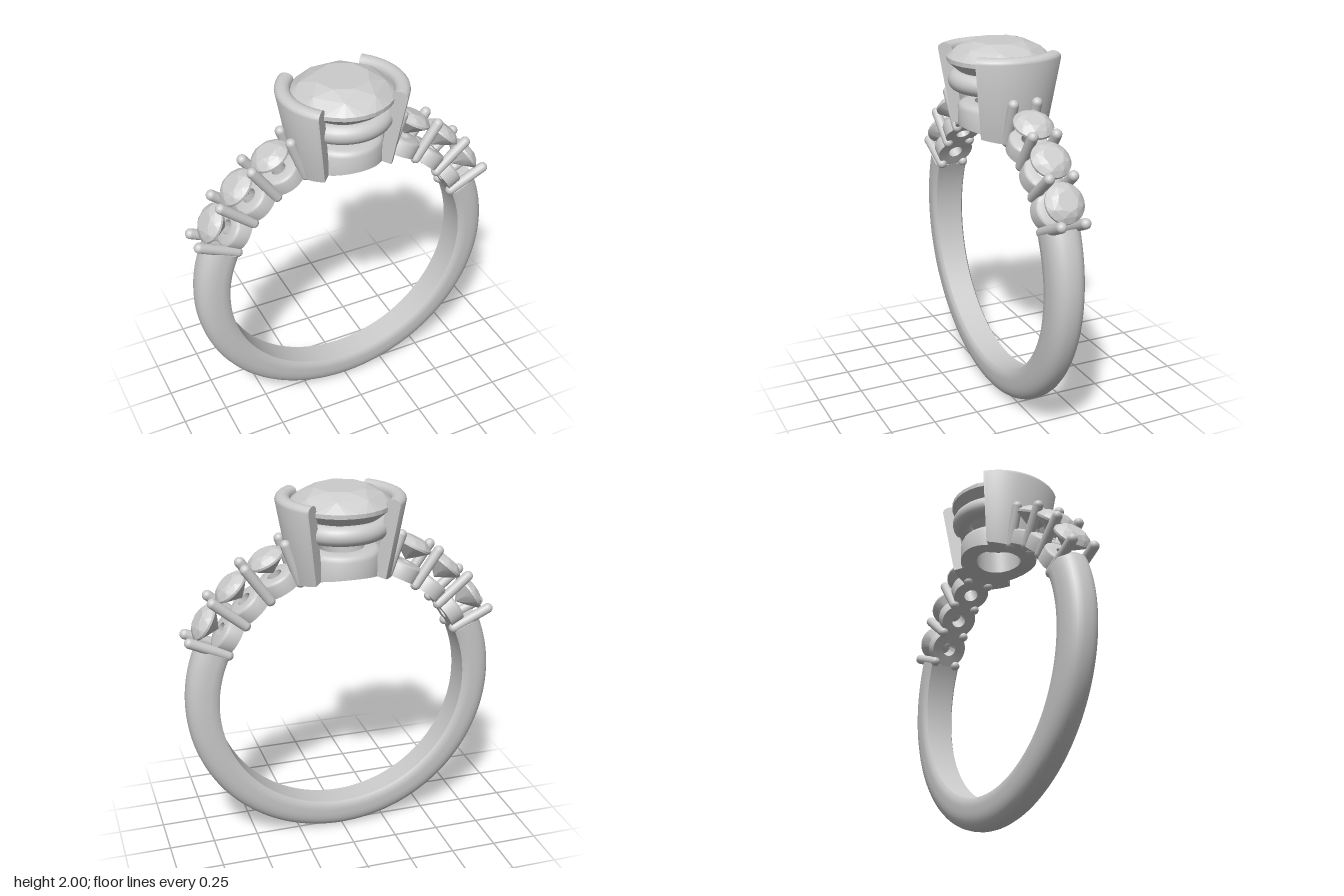
import * as THREE from 'three';
import { toCreasedNormals } from 'three/addons/utils/BufferGeometryUtils.js';
import { ConvexGeometry } from 'three/addons/geometries/ConvexGeometry.js';

const FINGER = 0.695;   // inner radius of the band
const CENTRE = 0.865;   // height of the band's axis
const rad = THREE.MathUtils.degToRad;
const smooth = new THREE.MeshStandardMaterial({ color: 0xcccccc });
const faceted = new THREE.MeshStandardMaterial({ color: 0xcccccc, flatShading: true });

// Height of the finger opening above the band's axis, at sideways offset x
const fingerY = x => Math.sqrt(FINGER * FINGER - x * x);

function add(parent, name, geometry, material = smooth) {
  const mesh = new THREE.Mesh(geometry, material);
  mesh.name = name;
  parent.add(mesh);
  return mesh;
}

// Skins a row of convex closed sections (arrays of [x, y, z]) and caps both ends
function loft(sections, crease) {
  const n = sections[0].length, last = (sections.length - 1) * n, index = [];
  for (let i = 0; i < sections.length - 1; i++) {
    for (let j = 0; j < n; j++) {
      const a = i * n + j, b = i * n + (j + 1) % n;
      index.push(a, a + n, b + n, a, b + n, b);
    }
  }
  for (let j = 1; j < n - 1; j++) {
    index.push(0, j, j + 1, last, last + j + 1, last + j);
  }
  const geometry = new THREE.BufferGeometry();
  geometry.setAttribute('position', new THREE.Float32BufferAttribute(sections.flat(2), 3));
  geometry.setIndex(index);
  return toCreasedNormals(geometry, crease);
}

// Band: flat inside, rounded outside, slimmer towards the bottom
function shankGeometry() {
  const sections = [], steps = 96, thick = 0.17;
  const power = v => Math.sign(v) * Math.abs(v) ** 0.8;
  for (let i = 0; i <= steps; i++) {
    const a = rad(-204 + 228 * i / steps);
    const width = 0.093 + 0.013 * Math.sin(a);
    const profile = [[0.02, 1], [0, 0.85], [0, -0.85], [0.02, -1]];
    for (let k = 0; k <= 16; k++) {
      const t = -Math.PI / 2 + Math.PI * k / 16;
      profile.push([0.05 + (thick - 0.05) * power(Math.cos(t)), power(Math.sin(t))]);
    }
    sections.push(profile.map(([d, w]) =>
      [(FINGER + d) * Math.cos(a), (FINGER + d) * Math.sin(a), w * width]));
  }
  return loft(sections, rad(40));
}

// Half-bezel wall: flared arc with a rounded rim, its foot cut to the finger
function wallGeometry() {
  const sections = [], steps = 32, rim = 0.04, top = 1.1;
  for (let i = 0; i <= steps; i++) {
    const a = rad(-45 + 90 * i / steps);
    const foot = r => [r, fingerY(r * Math.cos(a))];
    const profile = [foot(0.2), foot(0.265)];
    for (let k = 0; k <= 8; k++) {
      const t = Math.PI * k / 8;
      profile.push([0.3 + rim * Math.cos(t), top - 0.03 + 0.03 * Math.sin(t)]);
    }
    sections.push(profile.map(([r, y]) => [r * Math.cos(a), y, -r * Math.sin(a)]));
  }
  return loft(sections, rad(35));
}

// Ring-shaped seat whose underside follows the finger opening
function collarGeometry(inner, outer, top, bevel) {
  const points = [[inner, 0], [outer, 0], [outer, top - bevel], [outer - bevel * 0.3, top - bevel * 0.3],
    [outer - bevel, top], [inner, top], [inner, 0]].map(([r, y]) => new THREE.Vector2(r, y));
  const geometry = new THREE.LatheGeometry(points, 40);
  const p = geometry.attributes.position;
  for (let i = 0; i < p.count; i++) {
    if (p.getY(i) === 0) p.setY(i, fingerY(p.getX(i)));
  }
  return toCreasedNormals(geometry, rad(50));
}

// Round brilliant: table, kite points, thin girdle, pavilion and culet
function gemGeometry(radius, girdle, crown, pavilion, edge) {
  const points = [new THREE.Vector3(0, girdle - pavilion, 0)];
  const ring = (count, r, y, turn = 0) => {
    for (let i = 0; i < count; i++) {
      const a = 2 * Math.PI * (i + turn) / count;
      points.push(new THREE.Vector3(r * radius * Math.sin(a), y, r * radius * Math.cos(a)));
    }
  };
  ring(8, 0.52, girdle + crown);
  ring(8, 0.8, girdle + crown * 0.62, 0.5);
  ring(32, 1, girdle);
  ring(32, 1, girdle - edge);
  ring(8, 0.5, girdle - edge - (pavilion - edge) * 0.53, 0.5);
  return new ConvexGeometry(points);
}

// Large stone in its two-walled head
function buildHead() {
  const head = new THREE.Group();
  head.name = 'head';
  add(head, 'centreStone', gemGeometry(0.27, 1.055, 0.08, 0.25, 0.022), faceted);
  const rail = add(head, 'galleryRail', new THREE.TorusGeometry(0.212, 0.053, 20, 64));
  rail.rotation.x = Math.PI / 2;
  rail.position.y = 0.93;
  add(head, 'baseRing', collarGeometry(0.125, 0.215, 0.815, 0.03));
  const wall = wallGeometry();
  add(head, 'leftBezelWall', wall);
  add(head, 'rightBezelWall', wall).rotation.y = Math.PI;
  return head;
}

// Three small stones up one shoulder, with shared prong pairs between them
function buildShoulder(side) {
  const shoulder = new THREE.Group();
  shoulder.name = side > 0 ? 'leftShoulder' : 'rightShoulder';
  const gem = gemGeometry(0.105, 0.885, 0.036, 0.095, 0.012);
  const collar = collarGeometry(0.04, 0.103, 0.78, 0.015);
  const prong = new THREE.CapsuleGeometry(0.028, 0.22, 6, 16);
  const radial = (name, angle) => {
    const group = new THREE.Group();
    group.name = name;
    group.rotation.z = -side * rad(90 - angle);
    shoulder.add(group);
    return group;
  };
  for (const angle of [32.5, 47.5, 62.5]) {
    const setting = radial('stoneSetting', angle);
    add(setting, 'sideStone', gem, faceted);
    add(setting, 'stoneCollar', collar);
  }
  for (const angle of [25, 40, 55, 70]) {
    const pair = radial('prongPair', angle);
    for (const z of [-0.066, 0.066]) {
      add(pair, 'prong', prong).position.set(0, 0.81, z);
    }
  }
  return shoulder;
}

export function createModel() {
  const model = new THREE.Group();
  model.name = 'ring';
  const body = new THREE.Group();
  body.name = 'ringBody';
  body.position.y = CENTRE;
  add(body, 'shank', shankGeometry());
  body.add(buildHead(), buildShoulder(1), buildShoulder(-1));
  model.add(body);
  return model;
}
